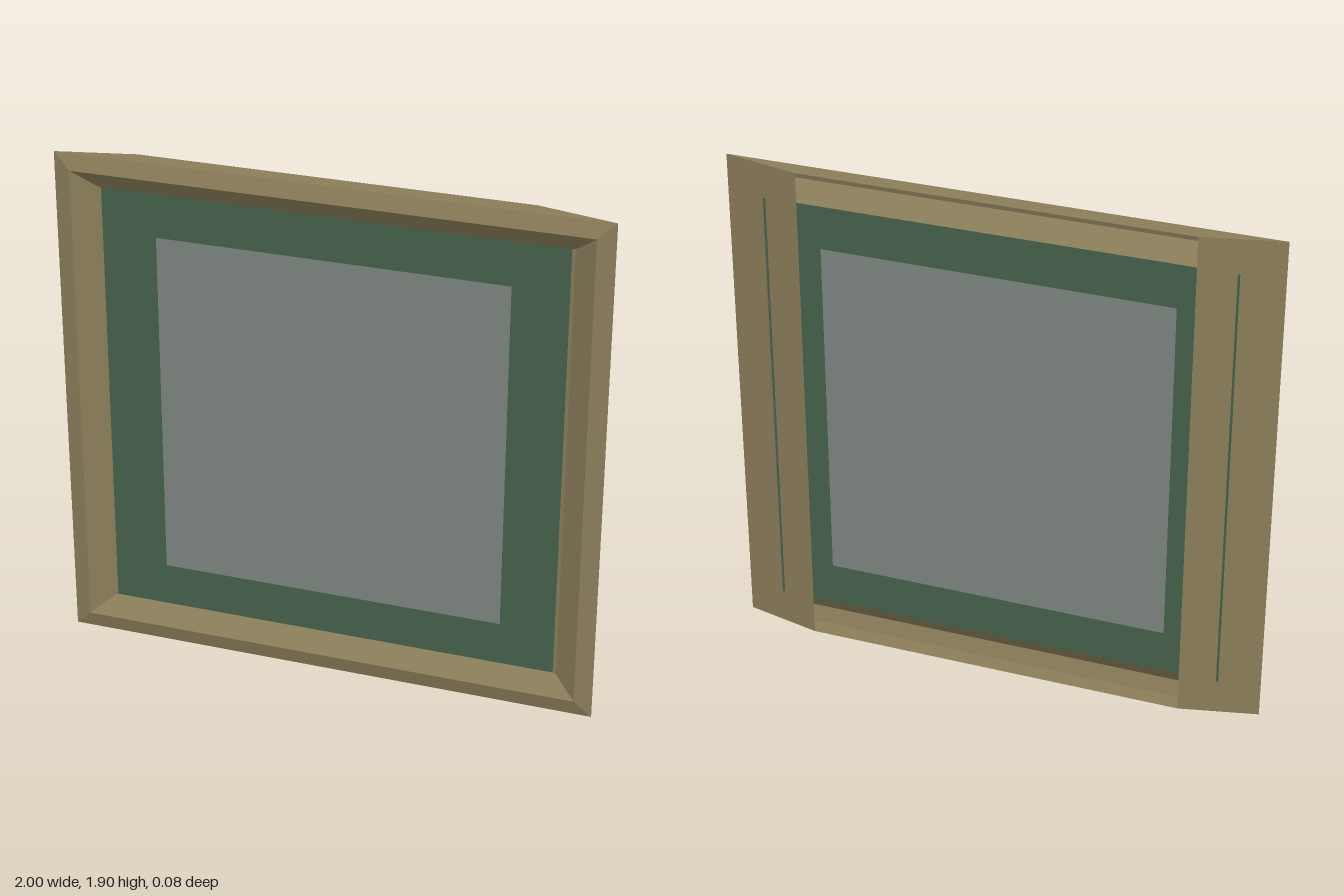
import * as THREE from 'three';

const material = (color) => new THREE.MeshStandardMaterial({
  color, flatShading: true, side: THREE.DoubleSide,
});

// Corners of a rectangle at depth z, counter-clockwise seen from the front
const ring = (halfWidth, bottom, top, z) => [
  [-halfWidth, bottom, z], [halfWidth, bottom, z],
  [halfWidth, top, z], [-halfWidth, top, z],
];

// Four mitred strips joining two rectangles
function band(a, b) {
  const points = [];
  for (let i = 0; i < 4; i++) {
    const j = (i + 1) % 4;
    points.push(...a[i], ...a[j], ...b[j], ...a[i], ...b[j], ...b[i]);
  }
  const geometry = new THREE.BufferGeometry();
  geometry.setAttribute('position', new THREE.Float32BufferAttribute(points, 3));
  geometry.computeVertexNormals();
  return geometry;
}

const outline = (PathType, corners) =>
  new PathType(corners.map(([x, y]) => new THREE.Vector2(x, y)));

export function createModel() {
  const model = new THREE.Group();
  model.name = 'framedPicture';
  const wood = material(0x8a7d5a);

  const add = (name, geometry, mat, parent = model) => {
    const mesh = new THREE.Mesh(geometry, mat);
    mesh.name = name;
    parent.add(mesh);
    return mesh;
  };

  // Frame: an open-backed shell through four rectangles, back to front to inside
  const back = ring(0.713, 0, 1.9, -0.042);
  const rim = ring(1, 0, 1.9, 0.024);
  const ridge = ring(0.937, 0.062, 1.842, 0.042);
  const opening = ring(0.852, 0.133, 1.773, -0.012);
  const frame = new THREE.Group();
  frame.name = 'frame';
  model.add(frame);
  add('frameSides', band(back, rim), wood, frame);
  add('frameFront', band(rim, ridge), wood, frame);
  add('frameInnerBevel', band(ridge, opening), wood, frame);

  // Mat with a window, and the picture filling it
  const window = ring(0.642, 0.295, 1.61, 0);
  const matShape = outline(THREE.Shape, opening);
  matShape.holes.push(outline(THREE.Path, window));
  add('mat', new THREE.ShapeGeometry(matShape), material(0x44604a)).position.z = -0.012;
  add('picture', new THREE.ShapeGeometry(outline(THREE.Shape, window)),
    material(0x7c847e)).position.z = -0.012;

  return model;
}
